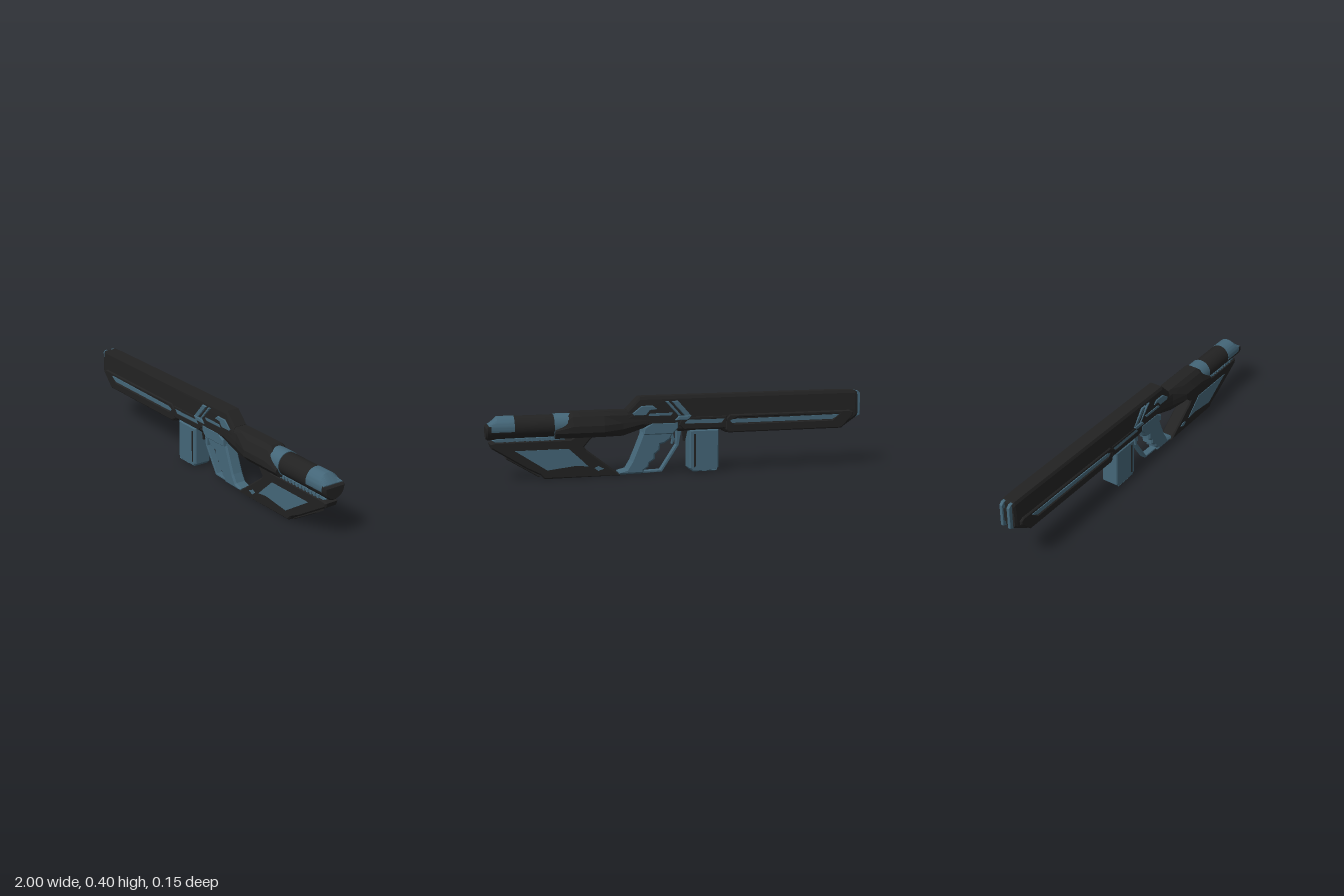
import * as THREE from 'three';
import { toCreasedNormals } from 'three/addons/utils/BufferGeometryUtils.js';

const mat = (name, color) => Object.assign(new THREE.MeshStandardMaterial({ color }), { name });

export function createModel() {
  const black = mat('matte black', 0x222222);
  const blue = mat('steel blue', 0x446678);
  const model = new THREE.Group();

  const add = (name, geo, material) => {
    const mesh = new THREE.Mesh(geo, material);
    mesh.name = name;
    model.add(mesh);
    return mesh;
  };
  const trace = (path, pts) => {
    pts.forEach(([x, y], i) => (i ? path.lineTo(x, y) : path.moveTo(x, y)));
    path.closePath();
    return path;
  };
  // Side outline extruded evenly about z = 0, with chamfered edges
  const slab = (name, pts, half, material, bevel = 0, holes = []) => {
    const shape = trace(new THREE.Shape(), pts);
    shape.holes = holes.map((h) => trace(new THREE.Path(), h));
    const geo = new THREE.ExtrudeGeometry(shape, {
      depth: 2 * (half - bevel), bevelEnabled: bevel > 0, bevelSize: bevel,
      bevelThickness: bevel, bevelOffset: -bevel, bevelSegments: 1, curveSegments: 6,
    });
    geo.translate(0, 0, -(half - bevel));
    return add(name, geo, material);
  };
  // The same thin plate on both flanks
  const flanks = (name, pts, z, material, thick = 0.008) => {
    for (const s of [1, -1]) slab(name, pts, thick / 2, material).position.z = s * z;
  };
  // Skin over mirrored cross-sections: [x, [[z, y] from top to bottom]]
  const loft = (name, sections, material, crease = 0.4) => {
    const rings = sections.map(([x, half]) => [
      ...half.map(([z, y]) => [x, y, z]),
      ...half.slice().reverse().map(([z, y]) => [x, y, -z]),
    ]);
    const v = [];
    const n = rings[0].length;
    for (let r = 0; r + 1 < rings.length; r++) {
      for (let i = 0; i < n; i++) {
        const j = (i + 1) % n, a = rings[r], b = rings[r + 1];
        v.push(...a[i], ...a[j], ...b[j], ...a[i], ...b[j], ...b[i]);
      }
    }
    const first = rings[0], last = rings[rings.length - 1];
    for (let i = 1; i + 1 < n; i++) {
      v.push(...first[0], ...first[i + 1], ...first[i], ...last[0], ...last[i], ...last[i + 1]);
    }
    const geo = new THREE.BufferGeometry();
    geo.setAttribute('position', new THREE.Float32BufferAttribute(v, 3));
    return add(name, toCreasedNormals(geo, crease), material);
  };

  // Long receiver housing
  const hull = (x, bottom, top, w = 1) => [x, [
    [0.034 * w, top], [0.041 * w, top - 0.015], [0.047 * w, bottom + (top - bottom) * 0.5],
    [0.047 * w, bottom + 0.015], [0.036 * w, bottom],
  ]];
  loft('receiver', [
    hull(-0.98, 0.26, 0.39, 0.85), hull(-0.965, 0.25, 0.398, 0.92), hull(-0.89, 0.2, 0.4, 0.95),
    hull(-0.24, 0.2, 0.4), hull(-0.22, 0.217, 0.4), hull(0.02, 0.217, 0.4),
    hull(0.05, 0.245, 0.4), hull(0.22, 0.245, 0.4), hull(0.285, 0.25, 0.335),
  ], black, 0.1);

  // Muzzle: two blue prongs around a dark core
  for (const s of [1, -1]) {
    slab('muzzleProng', [[-1, 0.265], [-0.96, 0.245], [-0.96, 0.395], [-0.985, 0.395], [-1, 0.38]],
      0.008, blue, 0.002).position.z = s * 0.021;
  }
  slab('muzzleCore', [[-0.99, 0.29], [-0.96, 0.29], [-0.96, 0.36], [-0.99, 0.36]], 0.013, black);

  // Lower fore-end rails with inset strips
  slab('foreRail', [[-0.95, 0.265], [-0.885, 0.2], [-0.25, 0.2], [-0.235, 0.215], [-0.235, 0.272],
    [-0.255, 0.295], [-0.93, 0.295], [-0.95, 0.285]], 0.053, black, 0.006,
  [[[-0.87, 0.277], [-0.3, 0.277], [-0.26, 0.262], [-0.28, 0.247], [-0.83, 0.247]]]);
  flanks('foreRailStrip', [[-0.88, 0.274], [-0.83, 0.25], [-0.26, 0.25], [-0.26, 0.27]], 0.047, blue);
  slab('midRail', [[-0.24, 0.225], [-0.01, 0.225], [0.02, 0.25], [0, 0.29], [-0.24, 0.29]],
    0.05, black, 0.004, [[[-0.225, 0.273], [-0.03, 0.273], [-0.015, 0.258], [-0.21, 0.255]]]);
  flanks('midRailStrip', [[-0.23, 0.275], [-0.21, 0.253], [-0.01, 0.253], [-0.02, 0.275]], 0.044, blue);

  // Slanted stripes and side panels by the action
  for (const [x, w] of [[-0.05, 0.035], [0.0, 0.018]]) {
    slab('slantStripe', [[x, 0.295], [x + w, 0.295], [x + w + 0.072, 0.375], [x + 0.072, 0.375]],
      0.05, blue, 0.004);
  }
  slab('slantFoot', [[-0.05, 0.297], [-0.03, 0.275], [0.04, 0.275], [0.02, 0.297]], 0.054, blue, 0.004);
  slab('portPanel', [[0.13, 0.335], [0.155, 0.355], [0.215, 0.355], [0.262, 0.318], [0.255, 0.305],
    [0.19, 0.305], [0.17, 0.33]], 0.049, blue, 0.004);
  flanks('portLine', [[0.05, 0.315], [0.17, 0.315], [0.18, 0.302], [0.06, 0.302]], 0.047, blue);

  // Widening rear shroud, cut away at the top of its tail
  loft('rearShroud', [
    [0.17, [[0.03, 0.33], [0.044, 0.31], [0.047, 0.28], [0.047, 0.27], [0.035, 0.25]]],
    [0.31, [[0.032, 0.334], [0.045, 0.31], [0.05, 0.27], [0.05, 0.24], [0.036, 0.205]]],
    [0.41, [[0.032, 0.334], [0.052, 0.312], [0.073, 0.265], [0.073, 0.232], [0.05, 0.205]]],
    [0.57, [[0.032, 0.334], [0.052, 0.312], [0.073, 0.265], [0.073, 0.232], [0.05, 0.205]]],
    [0.66, [[0.05, 0.252], [0.06, 0.25], [0.072, 0.245], [0.073, 0.232], [0.05, 0.205]]],
  ], black, 0.1);

  // Round rear tube and sleeve
  const cy = 0.265;
  const tube = (name, x0, x1, r, material) => {
    const geo = new THREE.CylinderGeometry(r, r, x1 - x0, 40);
    geo.rotateZ(Math.PI / 2);
    add(name, geo, material).position.set((x0 + x1) / 2, cy, 0);
  };
  tube('tubeSleeve', 0.54, 0.662, 0.062, blue);
  tube('rearTube', 0.62, 0.87, 0.058, black);

  // Slanted tail cap: blue upper shell, black lower shell
  const arc = (x, from, to, r, top = 1) => [x, Array.from({ length: 17 }, (_, i) => {
    const a = from + ((to - from) * i) / 16;
    return [r * Math.sin(a), Math.min(cy + r * Math.cos(a), top)];
  })];
  const split = 1.85;
  loft('tailCapUpper', [arc(0.86, 0, split, 0.059), arc(0.945, 0, split, 0.059),
    arc(0.985, 0, split, 0.058, 0.283)], blue);
  loft('tailCapLower', [arc(0.86, split, Math.PI, 0.059), arc(0.985, split, Math.PI, 0.059)], black);
  loft('tailPlate', [arc(0.975, 0, Math.PI, 0.06, 0.28), arc(0.992, 0, Math.PI, 0.06, 0.278),
    arc(1.0, 0, Math.PI, 0.053, 0.27)], black);

  // Ribbed slide between tube and stock
  slab('stockSlide', [[0.6, 0.19], [0.95, 0.19], [0.97, 0.205], [0.94, 0.215], [0.62, 0.215]], 0.03, blue, 0.003);
  for (let i = 0; i < 12; i++) {
    const x = 0.64 + i * 0.025;
    slab('slideRib', [[x, 0.196], [x + 0.012, 0.196], [x + 0.012, 0.212], [x, 0.212]], 0.036, blue);
  }

  // Skeleton stock
  slab('stock', [[0.32, 0], [0.715, 0], [0.735, 0.022], [0.8, 0.055], [0.975, 0.165], [0.985, 0.19],
    [0.96, 0.197], [0.58, 0.197], [0.55, 0.215], [0.45, 0.215], [0.48, 0.19], [0.51, 0.155], [0.5, 0.14],
    [0.335, 0.012]], 0.037, black, 0.007);
  flanks('stockPanel', [[0.59, 0.15], [0.52, 0.085], [0.49, 0.055], [0.55, 0.062], [0.7, 0.045],
    [0.86, 0.15]], 0.036, blue);
  flanks('stockLatch', [[0.41, 0.04], [0.44, 0.055], [0.46, 0.045], [0.44, 0.03]], 0.036, blue);
  slab('buttPad', [[0.73, 0.01], [0.745, 0.012], [0.905, 0.11], [0.9, 0.125]], 0.025, black, 0.003);

  // Pistol grip with finger swells
  slab('gripCollar', [[0.02, 0.265], [0.16, 0.265], [0.2, 0.24], [0.205, 0.205], [0.05, 0.205], [0.02, 0.235]],
    0.049, blue, 0.005);
  slab('grip', [[0.04, 0.215], [0.06, 0.175], [0.09, 0.155], [0.112, 0.15], [0.115, 0.12], [0.14, 0.1],
    [0.14, 0.075], [0.17, 0.055], [0.175, 0.035], [0.2, 0.018], [0.2, 0.004], [0.33, 0.002], [0.335, 0.018],
    [0.29, 0.03], [0.265, 0.07], [0.235, 0.14], [0.205, 0.215]], 0.034, blue, 0.009);

  // Trigger and angular guard
  slab('triggerGuard', [[-0.005, 0.225], [0.01, 0.14], [0.1, 0.005], [0.21, 0.002], [0.21, 0.014],
    [0.108, 0.016], [0.024, 0.143], [0.02, 0.225]], 0.018, blue, 0.002);
  slab('trigger', [[0.04, 0.21], [0.03, 0.17], [0.04, 0.145], [0.048, 0.147], [0.045, 0.17], [0.06, 0.21]],
    0.009, blue, 0.002);
  slab('magazineCatch', [[-0.04, 0.22], [-0.025, 0.16], [-0.018, 0.16], [-0.015, 0.22]], 0.012, black);

  // Magazine with a slotted floor
  slab('magazine', [[-0.198, 0.22], [-0.198, 0.02], [-0.18, 0.002], [-0.06, 0.002], [-0.042, 0.02],
    [-0.042, 0.22]], 0.047, blue, 0.006, [[[-0.182, 0.012], [-0.182, 0.024], [-0.108, 0.024], [-0.108, 0.012]]]);
  flanks('magazineRib', [[-0.072, 0.2], [-0.072, 0.03], [-0.064, 0.025], [-0.064, 0.2]], 0.047, black, 0.006);

  return model;
}
